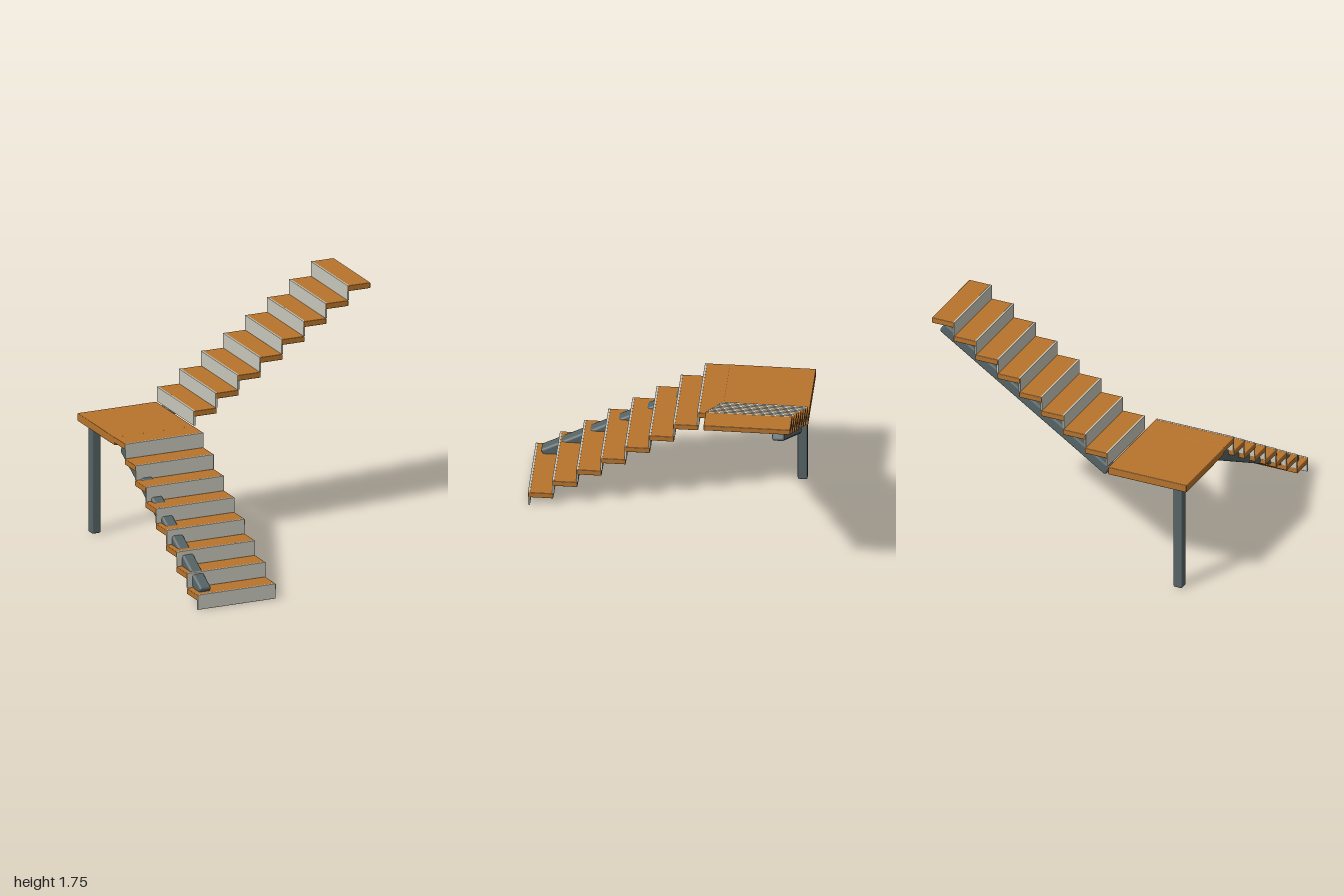
import * as THREE from 'three';
import { RoundedBoxGeometry } from 'three/addons/geometries/RoundedBoxGeometry.js';

const wood = new THREE.MeshStandardMaterial({ name: 'wood', color: 0xb8742c });
const riserPaint = new THREE.MeshStandardMaterial({ name: 'riserPaint', color: 0xc8c8bc });
const steel = new THREE.MeshStandardMaterial({ name: 'steel', color: 0x566466 });

const STEPS = 8, RISE = 0.1094, RUN = 0.1716;
const WIDTH = 0.615, TREAD_DEPTH = 0.178, TREAD_HEIGHT = 0.042, RISER_THICK = 0.015;

function block(name, material, size, position, radius) {
  const mesh = new THREE.Mesh(new RoundedBoxGeometry(...size, 2, radius), material);
  mesh.name = name;
  mesh.position.set(...position);
  return mesh;
}

// A straight flight climbing towards -z from its foot at z = 0, centred on x = 0
function makeFlight(name) {
  const flight = new THREE.Group();
  flight.name = name;
  for (let i = 0; i < STEPS; i++) {
    const top = (i + 1) * RISE, front = -i * RUN;
    flight.add(block('tread', wood, [WIDTH, TREAD_HEIGHT, TREAD_DEPTH],
      [0, top - TREAD_HEIGHT / 2, front - 0.002 - TREAD_DEPTH / 2], 0.005));
    // Riser stands just proud of the tread's front and top
    flight.add(block('riser', riserPaint, [WIDTH - 0.006, RISE + 0.001, RISER_THICK],
      [0, top + 0.001 - RISE / 2, front - RISER_THICK / 2], 0.002));
  }
  return flight;
}

// Sloping beam between two end points
function makeStringer(name, a, b) {
  const start = new THREE.Vector3(...a), end = new THREE.Vector3(...b);
  const beam = block(name, steel, [0.09, 0.085, start.distanceTo(end)], [0, 0, 0], 0.018);
  beam.position.copy(start).add(end).multiplyScalar(0.5);
  beam.lookAt(end);
  return beam;
}

export function createModel() {
  const stairs = new THREE.Group();
  stairs.name = 'staircase';
  const side = -0.69;

  // Lower flight, climbing to the back
  const lower = makeFlight('lowerFlight');
  lower.position.set(side, 0, 0.995);
  stairs.add(lower);
  stairs.add(makeStringer('lowerStringer', [-0.91, 0.1, 0.932], [-0.91, 0.802, -0.372]));

  // Corner landing and its post
  stairs.add(block('landing', wood, [WIDTH, 0.058, WIDTH], [-0.6925, 0.846, -0.6875], 0.005));
  stairs.add(block('post', steel, [0.07, 0.87, 0.07], [-0.907, 0.435, -0.91], 0.012));

  // Upper flight, turned to climb towards +x
  const upper = makeFlight('upperFlight');
  upper.rotation.y = -Math.PI / 2;
  upper.position.set(-0.381, 0.875, -0.6875);
  stairs.add(upper);
  stairs.add(makeStringer('upperStringer', [-0.362, 0.81, -0.907], [0.943, 1.665, -0.907]));

  return stairs;
}
